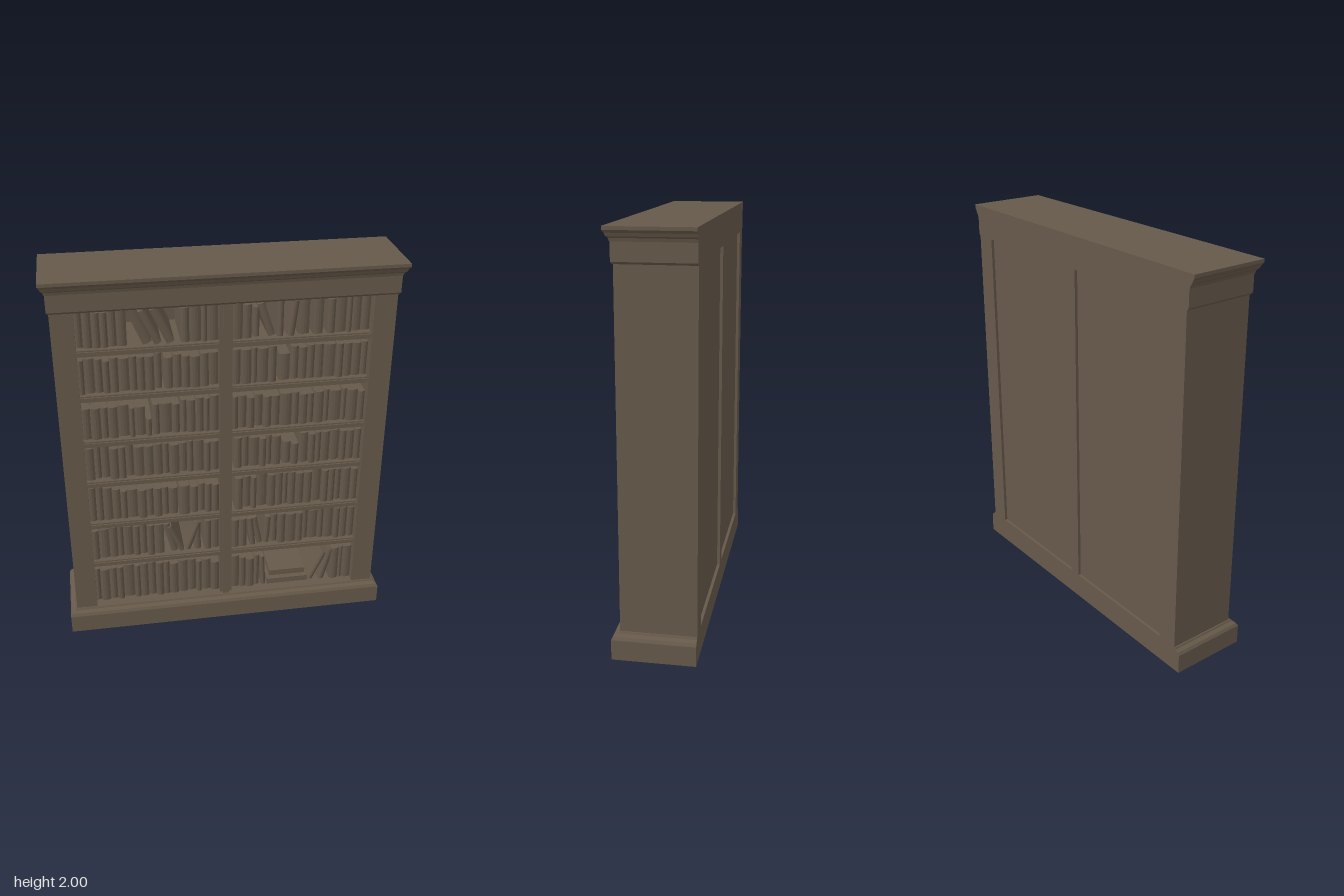
import * as THREE from 'three';

const wood = new THREE.MeshStandardMaterial({ color: 0x66594a });
wood.name = 'weathered brown';

const BACK = -0.2;
const shelfTops = [0.133, 0.414, 0.658, 0.912, 1.148, 1.4, 1.64];
const bays = [[-0.715, -0.035], [0.028, 0.712]];

// Per shelf, per bay: standing runs [x0, x1, top at x0, top at x1]
const runs = [
  [[[-0.715, -0.34, 0.34, 0.355], [-0.34, -0.035, 0.345, 0.325]],
   [[0.028, 0.19, 0.34, 0.325], [0.59, 0.712, 0.335, 0.35]]],
  [[[-0.715, -0.33, 0.605, 0.595], [-0.115, -0.035, 0.59, 0.6]],
   [[0.028, 0.115, 0.595, 0.59], [0.25, 0.712, 0.595, 0.61]]],
  [[[-0.715, -0.59, 0.865, 0.855], [-0.59, -0.25, 0.835, 0.82], [-0.245, -0.19, 0.835, 0.84], [-0.185, -0.035, 0.815, 0.835]],
   [[0.05, 0.712, 0.85, 0.855]]],
  [[[-0.715, -0.035, 1.095, 1.085]],
   [[0.045, 0.29, 1.09, 1.08], [0.3, 0.38, 1.035, 1.03], [0.385, 0.712, 1.085, 1.09]]],
  [[[-0.715, -0.4, 1.325, 1.31], [-0.4, -0.37, 1.25, 1.25], [-0.365, -0.23, 1.32, 1.3], [-0.225, -0.035, 1.325, 1.34]],
   [[0.028, 0.712, 1.325, 1.32]]],
  [[[-0.715, -0.31, 1.575, 1.58], [-0.3, -0.035, 1.57, 1.575]],
   [[0.028, 0.25, 1.58, 1.585], [0.265, 0.32, 1.54, 1.55], [0.325, 0.712, 1.575, 1.58]]],
  [[[-0.715, -0.47, 1.825, 1.82], [-0.215, -0.035, 1.82, 1.825]],
   [[0.028, 0.125, 1.815, 1.82], [0.355, 0.41, 1.82, 1.82], [0.495, 0.712, 1.815, 1.82]]],
];

// Leaning books: [shelf, x of foot, thickness, height, tilt], positive tilt leans to -x
const leaning = [
  [0, 0.215, 0.025, 0.19, 0.06], [0, 0.48, 0.03, 0.19, -0.42], [0, 0.54, 0.035, 0.2, -0.25],
  [1, -0.275, 0.035, 0.18, 0.24], [1, -0.235, 0.025, 0.17, 0.4], [1, -0.205, 0.03, 0.18, -0.35],
  [1, -0.15, 0.035, 0.17, 0], [1, 0.15, 0.03, 0.17, 0.1], [1, 0.19, 0.03, 0.17, 0.2], [1, 0.225, 0.03, 0.165, -0.05],
  [6, -0.375, 0.045, 0.19, 0.4], [6, -0.325, 0.035, 0.185, 0.42], [6, -0.265, 0.04, 0.19, 0.42],
  [6, 0.15, 0.03, 0.15, 0], [6, 0.225, 0.035, 0.175, 0.32], [6, 0.265, 0.03, 0.185, 0],
  [6, 0.315, 0.035, 0.18, -0.12], [6, 0.45, 0.05, 0.18, 0],
];

let seed = 11;
const rnd = () => (seed = (seed * 16807) % 2147483647) / 2147483647;

function add(parent, name, geometry) {
  const mesh = new THREE.Mesh(geometry, wood);
  mesh.name = name;
  parent.add(mesh);
  return mesh;
}

// Box given by its limits
function block(parent, name, x0, x1, y0, y1, z0, z1) {
  const mesh = add(parent, name, new THREE.BoxGeometry(x1 - x0, y1 - y0, z1 - z0));
  mesh.position.set((x0 + x1) / 2, (y0 + y1) / 2, (z0 + z1) / 2);
  return mesh;
}

// Moulding mitred round the front and sides, flat at the back; profile is [overhang, y] from the bottom up
function moulding(profile) {
  const pos = [];
  const ring = ([o, y]) => [[-0.82 - o, y, 0.165 + o], [0.82 + o, y, 0.165 + o], [0.82 + o, y, BACK], [-0.82 - o, y, BACK]];
  const quad = (a, b, c, d) => pos.push(...a, ...b, ...c, ...a, ...c, ...d);
  const rings = profile.map(ring);
  for (let i = 0; i < rings.length - 1; i++) {
    const lo = rings[i], hi = rings[i + 1];
    for (let k = 0; k < 4; k++) quad(lo[k], lo[(k + 1) % 4], hi[(k + 1) % 4], hi[k]);
  }
  const first = rings[0], last = rings[rings.length - 1];
  quad(last[0], last[1], last[2], last[3]);
  quad(first[3], first[2], first[1], first[0]);
  const g = new THREE.BufferGeometry();
  g.setAttribute('position', new THREE.Float32BufferAttribute(pos, 3));
  g.computeVertexNormals();
  return g;
}

// Unit book standing on y = 0 with a rounded spine toward +z
function bookGeometry() {
  const s = new THREE.Shape();
  s.moveTo(-0.5, 0);
  s.lineTo(-0.5, -0.97);
  s.quadraticCurveTo(0, -1.03, 0.5, -0.97);
  s.lineTo(0.5, 0);
  const g = new THREE.ExtrudeGeometry(s, { depth: 1, bevelEnabled: false, curveSegments: 4 });
  return g.rotateX(-Math.PI / 2);
}

export function createModel() {
  const model = new THREE.Group();
  model.name = 'bookcase';

  // Plinth, frieze and crown
  add(model, 'plinth', moulding([[0.036, 0], [0.036, 0.1], [0.028, 0.115], [0.01, 0.124], [0.006, 0.133]]));
  add(model, 'frieze', moulding([[0.003, 1.84], [0.01, 1.85], [0.01, 1.935]]));
  add(model, 'cornice', moulding([[0.012, 1.935], [0.016, 1.95], [0.024, 1.957], [0.03, 1.972], [0.038, 1.984], [0.038, 2]]));

  // Carcass: sides, centre post, recessed back
  for (const s of [-1, 1]) {
    const side = block(model, s < 0 ? 'rightSide' : 'leftSide', -0.055, 0.055, 0.13, 1.845, BACK, 0.165);
    side.position.x = s * 0.765;
  }
  block(model, 'centrePost', -0.035, 0.028, 0.13, 1.845, BACK, 0.15);
  block(model, 'centrePostBead', -0.02, 0.013, 0.13, 1.845, 0.14, 0.163);
  block(model, 'backPanel', -0.72, 0.72, 0.13, 1.845, -0.185, -0.165);

  // Shelves with a thin front lip
  for (const [x0, x1] of bays) {
    for (const y of shelfTops.slice(1)) {
      block(model, 'shelf', x0, x1, y - 0.033, y, -0.17, 0.142);
      block(model, 'shelfLip', x0, x1, y - 0.026, y - 0.007, 0.14, 0.149);
    }
  }

  // Books
  const books = new THREE.Group();
  books.name = 'books';
  model.add(books);
  const unit = bookGeometry();
  const placeBook = (name, x, y, t, h, tilt = 0) => {
    const b = add(books, name, unit);
    b.scale.set(t, h, 0.255 + rnd() * 0.025);
    b.position.set(x, y + Math.abs(Math.sin(tilt)) * t / 2, -0.15);
    b.rotation.z = tilt;
  };
  runs.forEach((row, r) => row.forEach(bay => bay.forEach(([x0, x1, t0, t1]) => {
    const n = Math.max(1, Math.round((x1 - x0) / 0.042));
    const edges = [x0];
    for (let i = 1; i < n; i++) edges.push(x0 + (x1 - x0) * (i + (rnd() - 0.5) * 0.5) / n);
    edges.push(x1);
    for (let i = 0; i < n; i++) {
      const mid = (edges[i] + edges[i + 1]) / 2;
      const top = t0 + (t1 - t0) * (mid - x0) / (x1 - x0) + (rnd() - 0.6) * 0.016;
      placeBook('book', mid, shelfTops[r], edges[i + 1] - edges[i] - 0.001, top - shelfTops[r]);
    }
  })));
  for (const [r, x, t, h, tilt] of leaning) placeBook('leaningBook', x, shelfTops[r], t, h, tilt);

  // Books lying flat in the open space of the bottom shelf
  block(books, 'flatBook', 0.235, 0.465, 0.133, 0.165, -0.1, 0.12);
  block(books, 'flatBook', 0.255, 0.455, 0.165, 0.198, -0.1, 0.09);
  return model;
}
